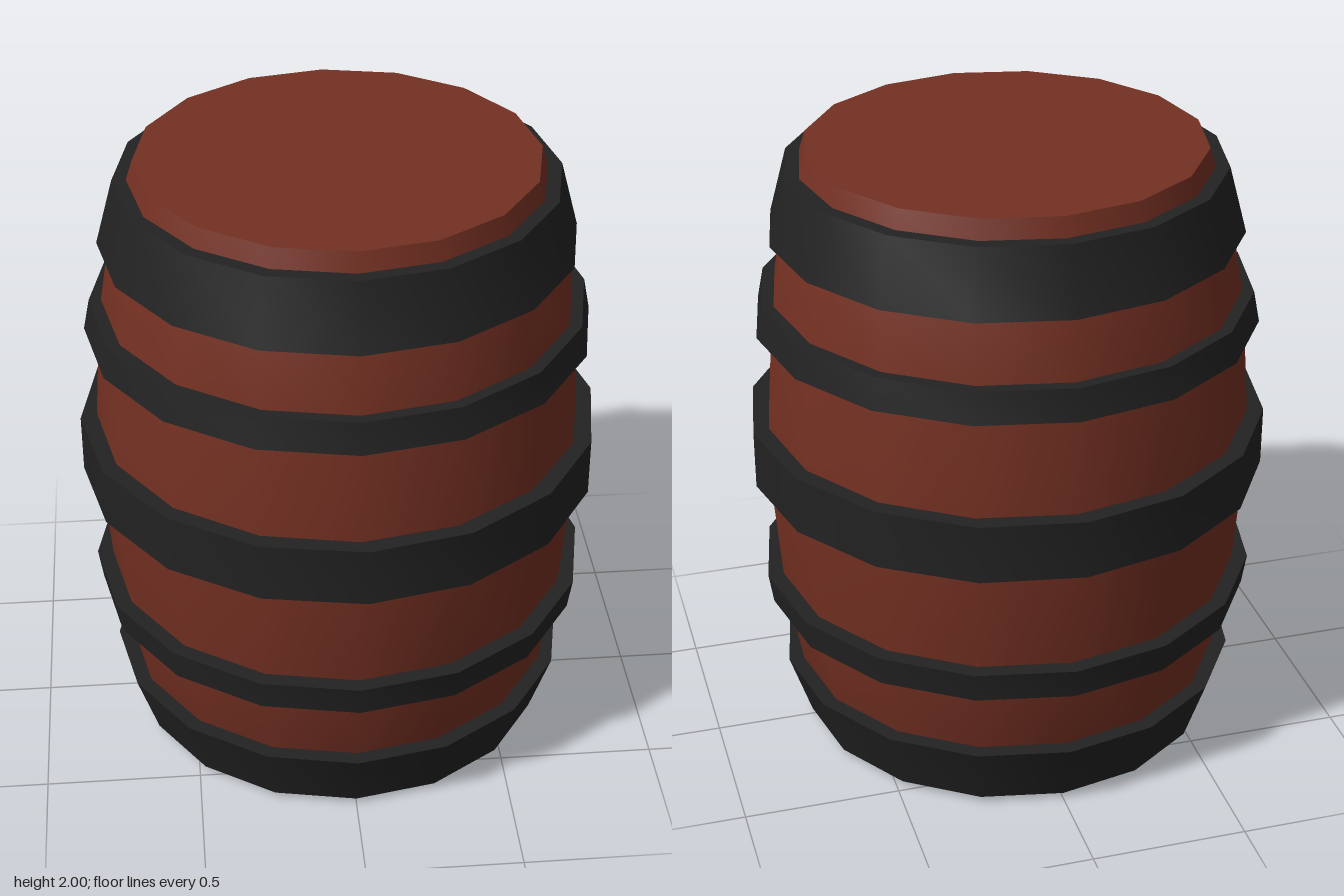
import * as THREE from 'three';
import { toCreasedNormals } from 'three/addons/utils/BufferGeometryUtils.js';

const SIDES = 16;

// Revolve [radius, height] pairs, smooth around but sharp at the rims
function revolve(name, pairs, material) {
  const points = pairs.map(([r, y]) => new THREE.Vector2(r, y));
  const geometry = toCreasedNormals(new THREE.LatheGeometry(points, SIDES), 0.5);
  const mesh = new THREE.Mesh(geometry, material);
  mesh.name = name;
  return mesh;
}

export function createModel() {
  const barrel = new THREE.Group();
  barrel.name = 'barrel';
  const wood = new THREE.MeshStandardMaterial({ color: 0x743022 });
  const iron = new THREE.MeshStandardMaterial({ color: 0x222222 });

  // Bulging wooden body with flat ends
  barrel.add(revolve('woodenBody', [
    [0, 0], [0.625, 0], [0.70, 0.23], [0.75, 0.52], [0.775, 0.85],
    [0.78, 1.02], [0.775, 1.15], [0.75, 1.48], [0.705, 1.75], [0.625, 2], [0, 2],
  ], wood));

  // Iron hoops: bottom height, top height, outer radius at bottom and top, inner radius, turn
  const hoops = [
    ['bottomHoop', 0.02, 0.23, 0.68, 0.75, 0.61, 0.68, 0],
    ['lowerHoop', 0.47, 0.57, 0.79, 0.805, 0.73, 0.74, 0],
    ['middleHoop', 0.92, 1.11, 0.83, 0.83, 0.76, 0.76, 0.024],
    ['upperHoop', 1.43, 1.53, 0.80, 0.78, 0.74, 0.73, 0],
    ['topHoop', 1.73, 1.94, 0.745, 0.688, 0.69, 0.63, 0],
  ];
  for (const [name, y0, y1, outer0, outer1, inner0, inner1, turn] of hoops) {
    const hoop = revolve(name, [
      [inner0, y0], [outer0, y0], [outer1, y1], [inner1, y1], [inner0, y0],
    ], iron);
    hoop.rotation.y = turn;
    barrel.add(hoop);
  }
  return barrel;
}
